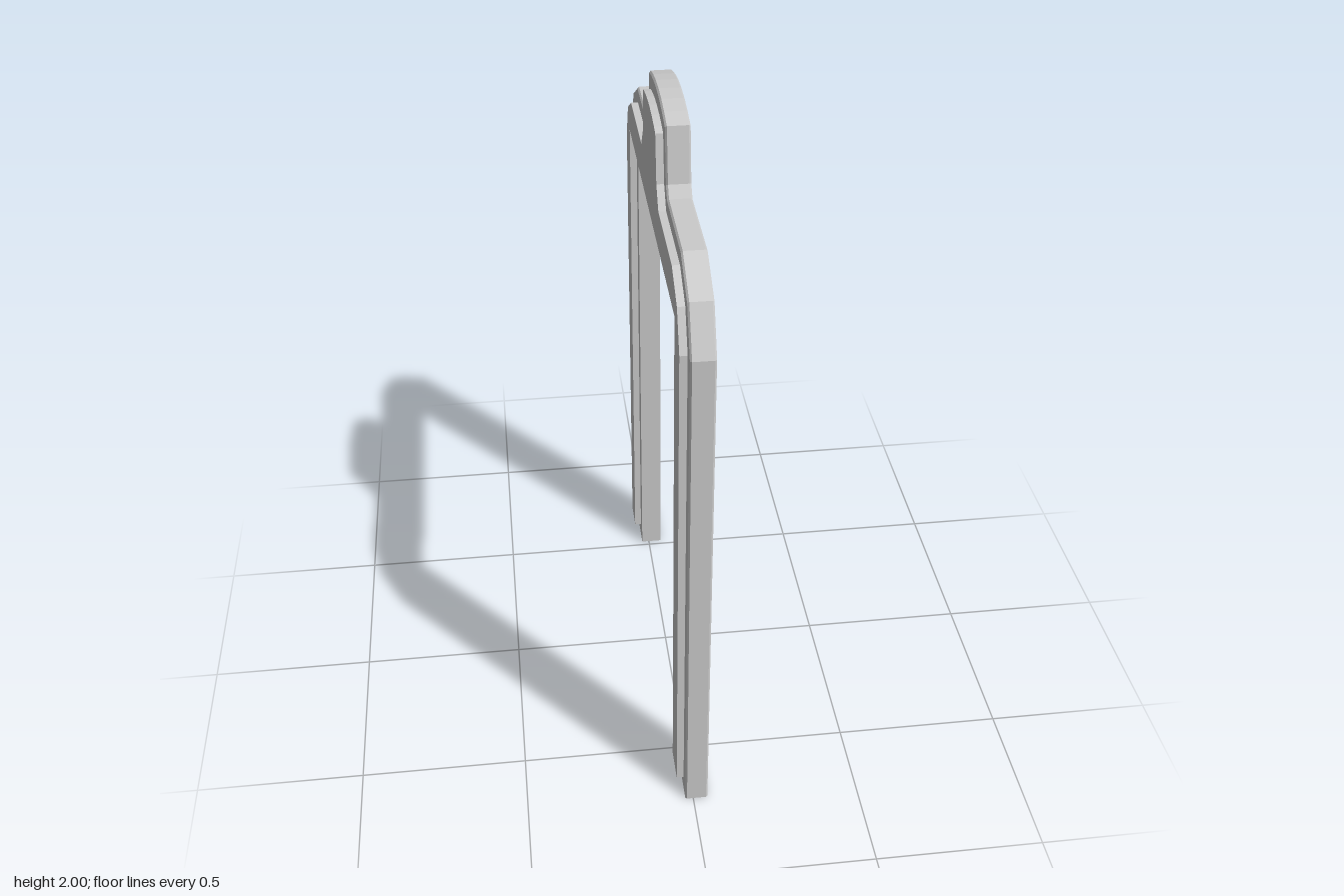
import * as THREE from 'three';

// Half of the arch outline as [z, y], from the foot up the outer edge to the crown
const HALF = [
  [0.71, 0], [0.71, 1.58], [0.648, 1.715], [0.519, 1.787], [0.237, 1.787],
  [0.213, 1.818], [0.188, 1.974], [0.127, 1.988], [0.064, 1.997],
];
const INNER_Z = 0.518, INNER_Y = 1.58; // opening
const BEVEL = 0.005;

function archShape() {
  const mirrored = HALF.map(([z, y]) => [-z, y]).reverse();
  const points = [
    [INNER_Z, 0], ...HALF, [0, 2], ...mirrored,
    [-INNER_Z, 0], [-INNER_Z, INNER_Y], [INNER_Z, INNER_Y],
  ];
  return new THREE.Shape(points.map(([z, y]) => new THREE.Vector2(z, y)));
}

// Extrudes the arch and turns it so that its thickness runs along x
function addArch(group, name, x0, x1, options, adjust) {
  const t = options.bevelThickness;
  const geometry = new THREE.ExtrudeGeometry(archShape(), {
    depth: x1 - x0 - 2 * t, steps: 1, bevelEnabled: true, ...options,
  });
  if (adjust) adjust(geometry);
  geometry.rotateY(Math.PI / 2).translate(x0 + t, 0, 0);
  const mesh = new THREE.Mesh(geometry, new THREE.MeshStandardMaterial({ color: 0xcccccc }));
  mesh.name = name;
  group.add(mesh);
}

// Keeps the opening and the feet square, so only the outer rim is bevelled
function squareInside(geometry) {
  const p = geometry.attributes.position;
  for (let i = 0; i < p.count; i++) {
    const u = p.getX(i), y = p.getY(i);
    if (Math.abs(u) < INNER_Z + 2 * BEVEL && y < INNER_Y + 2 * BEVEL) {
      p.setX(i, Math.sign(u) * INNER_Z);
      if (y > INNER_Y) p.setY(i, INNER_Y);
    }
    if (y < 2 * BEVEL) p.setY(i, 0);
  }
  geometry.computeVertexNormals();
}

export function createModel() {
  const group = new THREE.Group();
  group.name = 'archFrame';

  // Main arch with a fine bevel around its outer rim
  addArch(group, 'arch', -0.024, 0.044, {
    bevelThickness: BEVEL, bevelSize: BEVEL, bevelOffset: -BEVEL, bevelSegments: 1,
  }, squareInside);

  // Raised panel following the arch, inset evenly from every edge
  addArch(group, 'raisedPanel', -0.045, -0.02, {
    bevelThickness: 0, bevelSize: 0, bevelOffset: -0.046, bevelSegments: 0,
  });

  return group;
}
